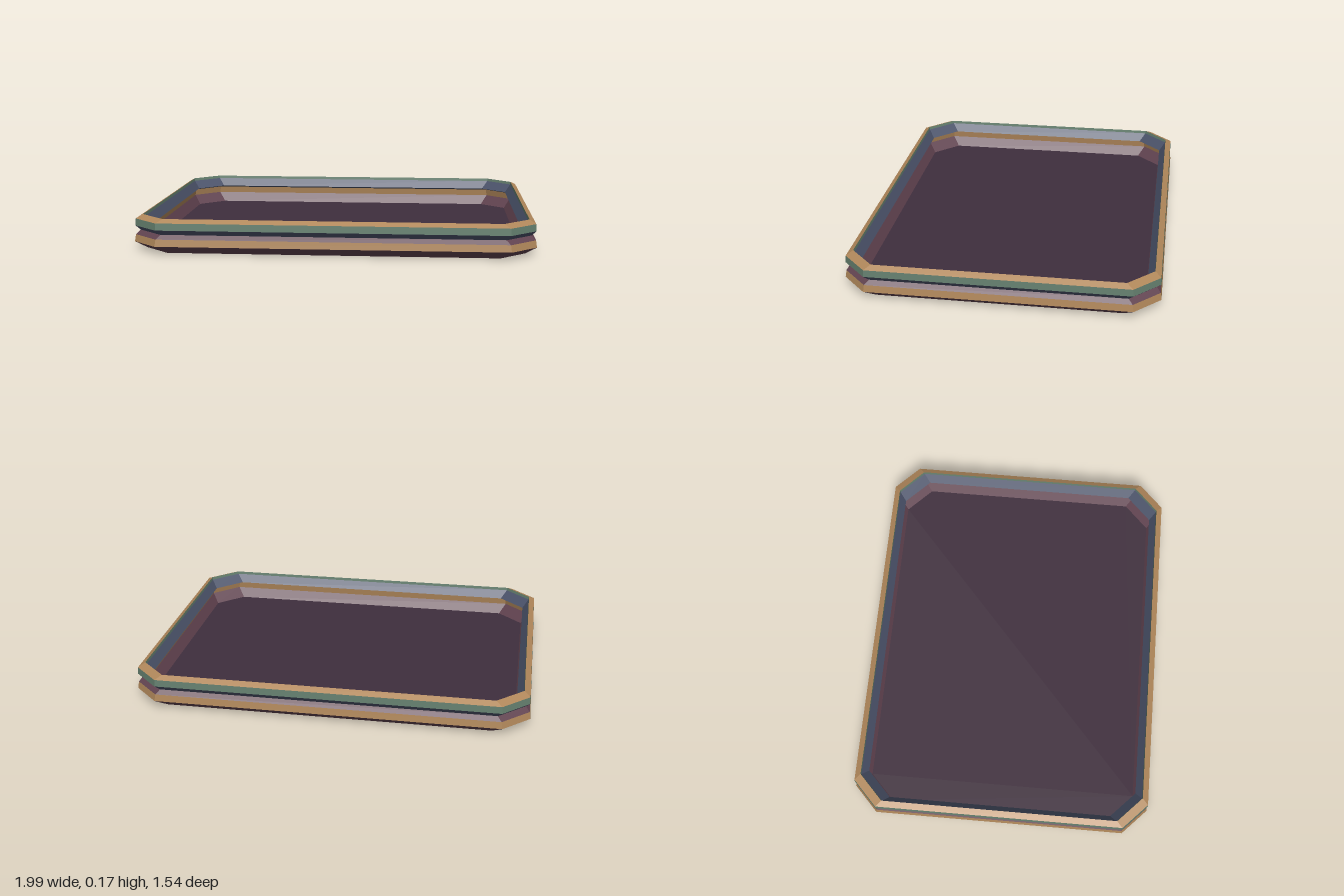
import * as THREE from 'three';

const mat = (name, color) => {
  const m = new THREE.MeshStandardMaterial({ color, flatShading: true });
  m.name = name;
  return m;
};

// Rectangle with cut corners, inset from the widest outline, at height y.
// Runs along the front to the right, then round the back.
function ring([inset, y]) {
  const x = 0.995 - inset, z = 0.77 - inset, cx = x - 0.13, cz = z - 0.125;
  return [
    [-cx, z], [cx, z], [x, cz], [x, -cz],
    [cx, -z], [-cx, -z], [-x, -cz], [-x, cz],
  ].map(([px, pz]) => new THREE.Vector3(px, y, pz));
}

function meshFrom(name, points, material) {
  const g = new THREE.BufferGeometry().setFromPoints(points);
  g.computeVertexNormals();
  const mesh = new THREE.Mesh(g, material);
  mesh.name = name;
  return mesh;
}

// Strip of eight flat faces between two profile points
function band(name, from, to, material) {
  const a = ring(from), b = ring(to), pts = [];
  for (let i = 0; i < 8; i++) {
    const j = (i + 1) % 8;
    pts.push(a[i], a[j], b[j], a[i], b[j], b[i]);
  }
  return meshFrom(name, pts, material);
}

// Flat eight-sided panel facing up or down
function panel(name, at, up, material) {
  const r = ring(at), pts = [];
  for (let i = 1; i < 7; i++) pts.push(r[0], ...(up ? [r[i], r[i + 1]] : [r[i + 1], r[i]]));
  return meshFrom(name, pts, material);
}

export function createModel() {
  const floor = mat('dark plum', 0x3f2e3d);
  const plum = mat('plum', 0x60424f);
  const gold = mat('tan gold', 0xb0875a);
  const blue = mat('slate blue', 0x4a5269);
  const teal = mat('grey green', 0x65806f);

  const tray = new THREE.Group();
  tray.name = 'tray';

  // Cross-section: up the outside, over the rim, down the inside.
  // Each entry is the start of a band: inset, height, name, material.
  const profile = [
    [0.05, 0, 'lowerSkirt', plum],
    [0, 0.04, 'lowerTrim', gold],
    [0.005, 0.075, 'grooveLower', plum],
    [0.025, 0.095, 'grooveUpper', blue],
    [0.004, 0.12, 'upperBand', teal],
    [0.006, 0.155, 'rimTrim', gold],
    [0.036, 0.172, 'innerRimEdge', teal],
    [0.038, 0.157, 'innerLip', blue],
    [0.07, 0.115, 'innerLipUnderside', blue],
    [0.045, 0.105, 'innerTrim', gold],
    [0.04, 0.07, 'innerWall', plum],
    [0.075, 0.02],
  ];
  for (let i = 0; i < profile.length - 1; i++) {
    const [, , name, material] = profile[i];
    tray.add(band(name, profile[i], profile[i + 1], material));
  }

  tray.add(panel('floor', profile[profile.length - 1], true, floor));
  tray.add(panel('base', profile[0], false, floor));
  return tray;
}
